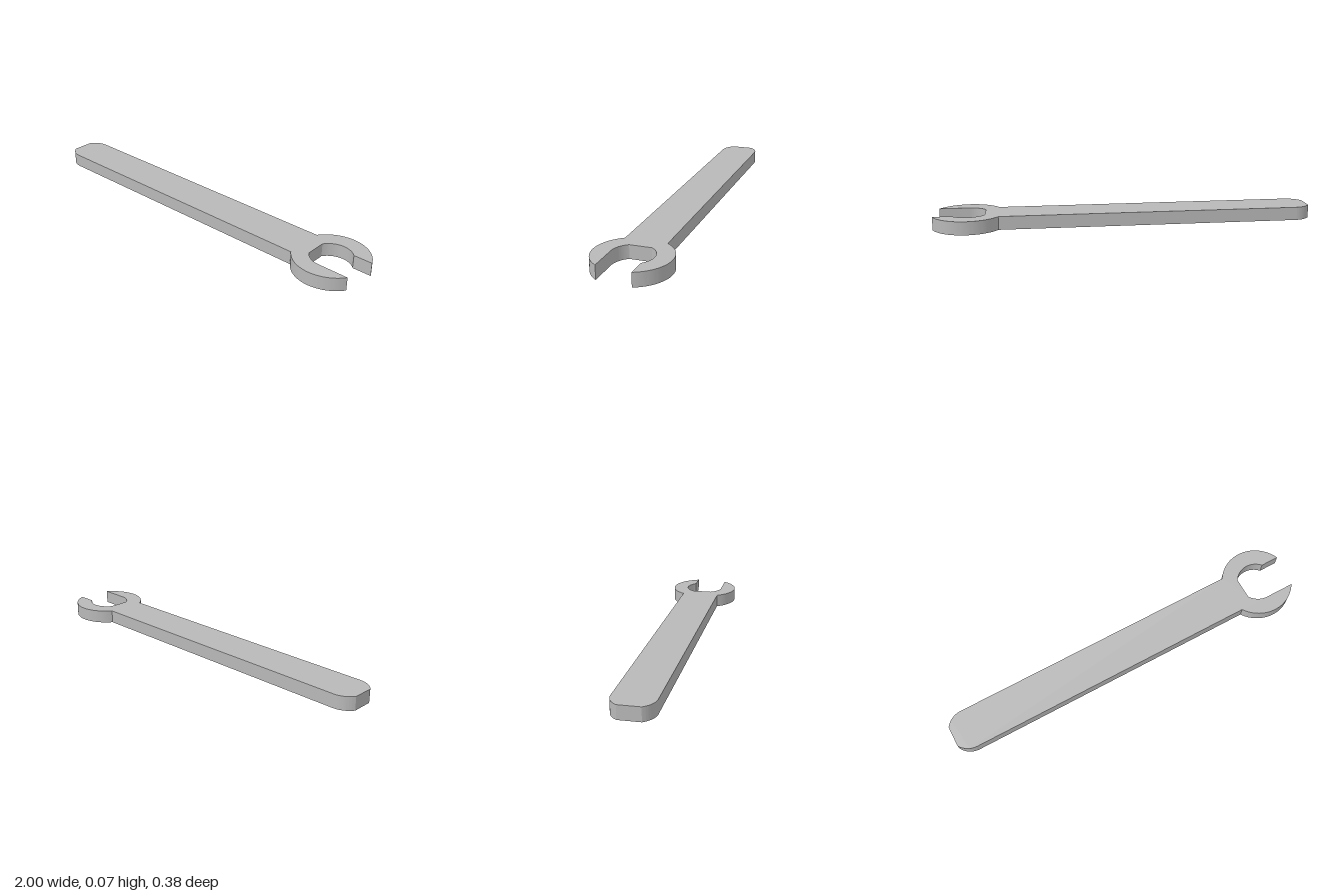
import * as THREE from 'three';
import { toCreasedNormals } from 'three/addons/utils/BufferGeometryUtils.js';

const THICKNESS = 0.07;
const HALF_WIDTH = 0.105; // handle half width, also the jaw opening radius
const HEAD_RADIUS = 0.19;
const HEAD_X = 0.823;
const END_X = -0.91;

// Outline drawn counter-clockwise; arcs are joined by straight edges.
function wrenchOutline() {
  const PI = Math.PI;
  const flat = Math.asin(0.055 / HALF_WIDTH);        // where a flat cuts the small circles
  const neck = Math.asin(HALF_WIDTH / HEAD_RADIUS);  // where the handle meets the head
  const tipOuter = Math.asin(0.07 / HEAD_RADIUS);    // rear jaw tip, outside
  const tipInner = Math.asin(0.07 / HALF_WIDTH);     // rear jaw tip, inside

  const s = new THREE.Shape();
  // front corner of the handle end
  s.absarc(END_X, 0, HALF_WIDTH, PI + flat, 1.5 * PI, false);
  // front jaw, outside
  s.absarc(HEAD_X, 0, HEAD_RADIUS, PI + neck, 2 * PI - neck, false);
  // jaw opening with a flat at its back
  s.absarc(HEAD_X, 0, HALF_WIDTH, 1.5 * PI, PI + flat, true);
  s.absarc(HEAD_X, 0, HALF_WIDTH, PI - flat, tipInner, true);
  // rear jaw, outside
  s.absarc(HEAD_X, 0, HEAD_RADIUS, tipOuter, PI - neck, false);
  // rear corner of the handle end
  s.absarc(END_X, 0, HALF_WIDTH, 0.5 * PI, PI - flat, false);
  s.closePath();
  return s;
}

export function createModel() {
  const group = new THREE.Group();
  group.name = 'openEndWrench';

  const steel = new THREE.MeshStandardMaterial({ color: 0xb8b8b8 });
  steel.name = 'grey steel';

  const extruded = new THREE.ExtrudeGeometry(wrenchOutline(), {
    depth: THICKNESS,
    bevelEnabled: false,
    curveSegments: 24,
  });
  extruded.rotateX(-Math.PI / 2);

  // smooth arcs, sharp rims and corners
  const body = new THREE.Mesh(toCreasedNormals(extruded, 0.3), steel);
  body.name = 'wrenchBody';
  group.add(body);
  return group;
}
